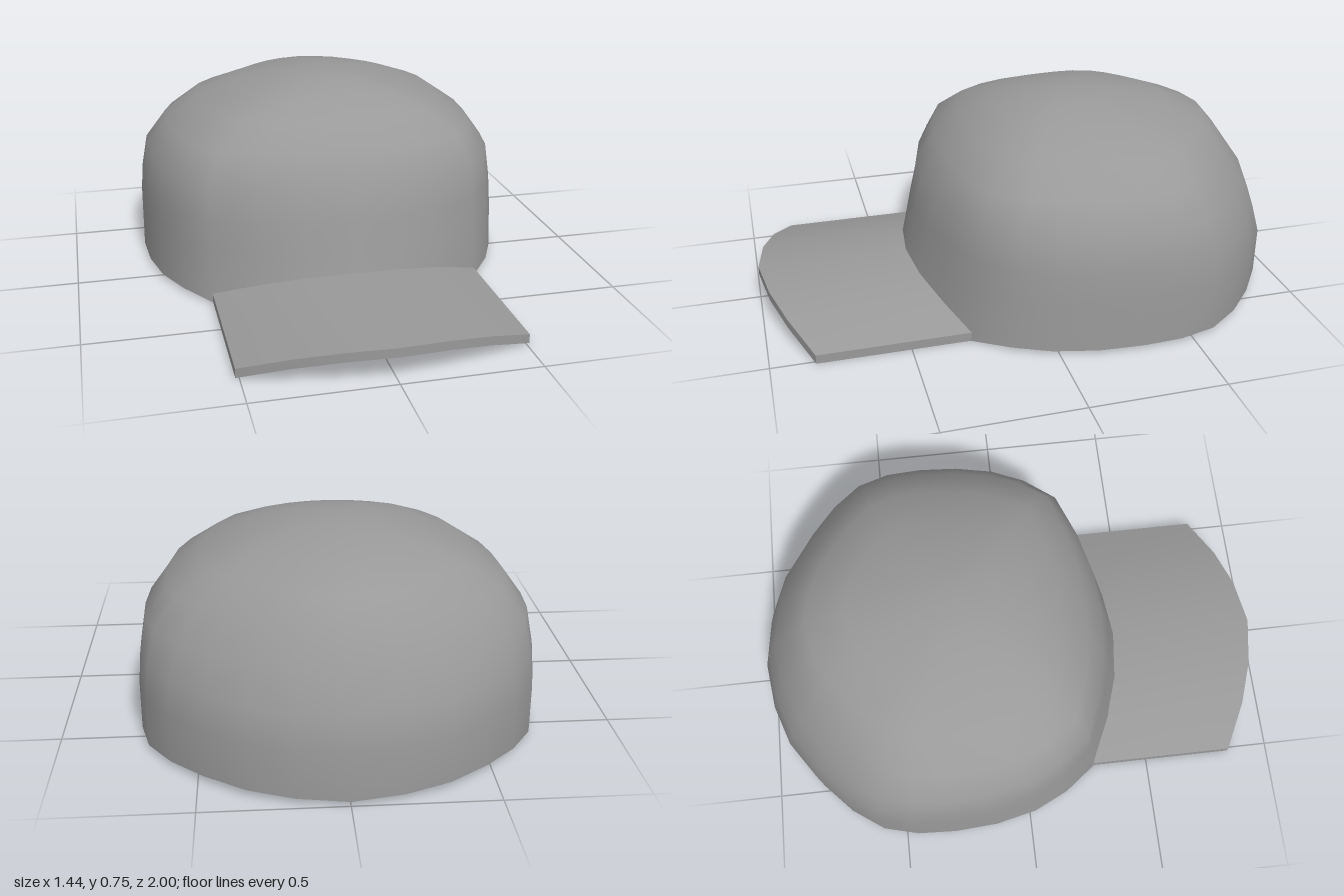
import * as THREE from 'three';
import { toCreasedNormals } from 'three/addons/utils/BufferGeometryUtils.js';

const HALF = 14, SIDES = HALF * 2, BRIM_COLS = 3;
// unit half outline of the crown from front centre round to back centre
const OUTLINE = [
  [0, 1], [0.25, 0.972], [0.47, 0.902], [0.71, 0.79], [0.845, 0.615], [0.935, 0.427], [0.985, 0.2], [1, -0.03],
  [0.99, -0.24], [0.942, -0.43], [0.825, -0.6], [0.667, -0.75], [0.47, -0.888], [0.25, -0.966], [0, -1],
];
// rim height along the same outline (the front arches over the brim)
const RIM_Y = [0.097, 0.086, 0.056, 0, 0.012, 0.014, 0.013, 0.013, 0.013, 0.014, 0.018, 0.022, 0.024, 0.02, 0.015];
// crown rings: y, half width, front z, back z, forward push of the corners
const RINGS = [
  [0, 0.722, 0.435, -0.998, 0], [0.2, 0.72, 0.41, -1, 0], [0.31, 0.712, 0.385, -0.97, 0.01],
  [0.44, 0.69, 0.352, -0.92, 0.03], [0.55, 0.61, 0.28, -0.845, 0.06], [0.635, 0.485, 0.185, -0.772, 0.06],
  [0.695, 0.325, 0.075, -0.62, 0.04], [0.733, 0.165, -0.06, -0.42, 0.02],
];
const BRIM_Z = [0.997, 0.97, 0.92, 0.84];

// point on a crown ring; column 0 is the front centre, positive towards +x
function ringPoint(ring, column) {
  const [y, w, front, back, push] = RINGS[ring];
  const c = (column + SIDES) % SIDES;
  const k = Math.min(c, SIDES - c);
  const [u, v] = OUTLINE[k];
  const scale = 1 + push * 4 * u * u * v * v * v;
  return [
    (c > HALF ? -1 : 1) * u * scale * w,
    ring === 0 ? RIM_Y[k] : y,
    (front + back) / 2 + (front - back) / 2 * v * scale,
  ];
}

function build(points, index) {
  const g = new THREE.BufferGeometry();
  g.setAttribute('position', new THREE.Float32BufferAttribute(points.flat(), 3));
  g.setIndex(index);
  g.computeVertexNormals();
  return g;
}

// domed crown, closed at the apex
function crownGeometry() {
  const points = [], index = [];
  RINGS.forEach((_, r) => {
    for (let i = 0; i < SIDES; i++) points.push(ringPoint(r, i));
  });
  const apex = points.push([0, 0.75, -0.23]) - 1;
  RINGS.forEach((_, r) => {
    for (let i = 0; i < SIDES; i++) {
      const a = r * SIDES + i, b = r * SIDES + (i + 1) % SIDES;
      if (r === RINGS.length - 1) index.push(a, b, apex);
      else index.push(a, b, b + SIDES, a, b + SIDES, a + SIDES);
    }
  });
  return build(points, index);
}

// one smooth underside: brim edge to front rim to back rim
function undersideGeometry() {
  const points = [], index = [], q = HALF / 2;
  for (let i = -q; i <= q; i++) {
    const rim = ringPoint(0, i);
    const edge = [rim[0], rim[1], BRIM_Z[Math.abs(i)] ?? rim[2]];
    points.push(edge, rim, ringPoint(0, Math.sign(i || 1) * HALF - i));
    if (i === q) break;
    const f = (i + q) * 3;
    const underBrim = i >= -BRIM_COLS && i < BRIM_COLS;
    for (const a of underBrim ? [f, f + 1] : [f + 1]) index.push(a, a + 1, a + 4, a, a + 4, a + 3);
  }
  return build(points, index);
}

// arched brim: top and front edge swept across x, closed at both ends
function brimGeometry() {
  const points = [], index = [], thick = 0.034;
  for (let j = -BRIM_COLS; j <= BRIM_COLS; j++) {
    const [x, y, z] = ringPoint(0, j);
    const f = BRIM_Z[Math.abs(j)];
    points.push([x, y + thick, z - 0.02], [x, y + thick, f], [x, y, f], [x, y, z]);
  }
  const e = BRIM_COLS * 8;
  for (let j = 0; j < e; j += 4) {
    for (const a of [j, j + 1]) index.push(a, a + 1, a + 5, a, a + 5, a + 4);
  }
  index.push(0, 3, 2, 0, 2, 1, e, e + 1, e + 2, e, e + 2, e + 3);
  return toCreasedNormals(build(points, index), 0.6);
}

export function createModel() {
  const group = new THREE.Group();
  group.name = 'cap';
  const material = new THREE.MeshStandardMaterial({ color: 0x999999 });
  const add = (name, geometry) => {
    const mesh = new THREE.Mesh(geometry, material);
    mesh.name = name;
    group.add(mesh);
  };
  add('crown', crownGeometry());
  add('underside', undersideGeometry());
  add('brim', brimGeometry());
  return group;
}
